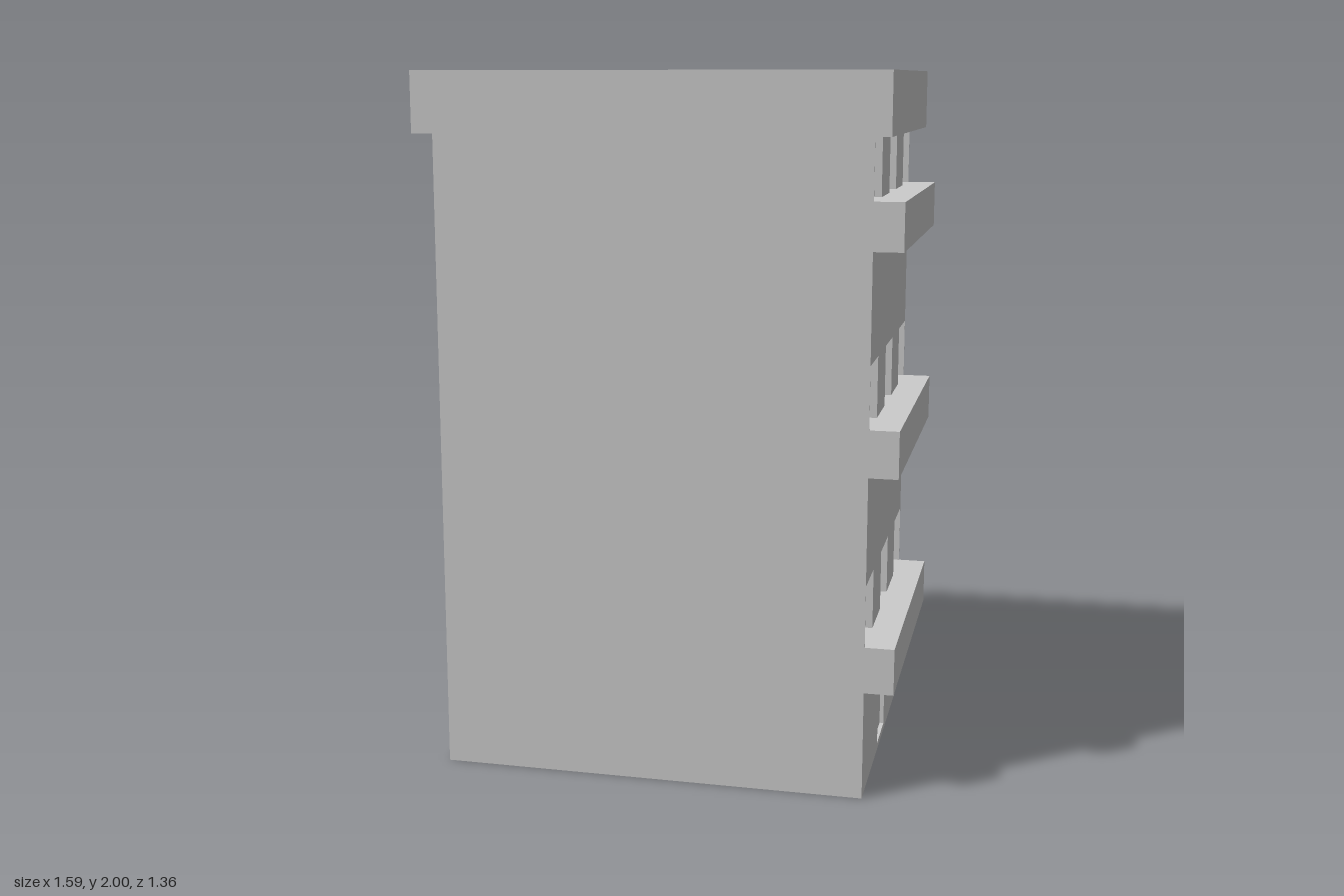
import * as THREE from 'three';

const L = 1.221, W = 0.891, BODY_H = 1.83;   // building length, facade width, roof level
const RECESS = 0.04, DOOR_RECESS = 0.012;
const FLOORS = [0.31, 0.92, 1.53];           // underside of each balcony
const BALCONY_H = 0.132, BALCONY_D = 0.082;
const OPENING_W = 0.172, WINDOW_H = 0.174;

const material = new THREE.MeshStandardMaterial({ color: 0xcccccc, flatShading: true });

function add(parent, name, geometry, x = 0, y = 0, z = 0) {
  const mesh = new THREE.Mesh(geometry, material);
  mesh.name = name;
  mesh.position.set(x, y, z);
  parent.add(mesh);
  return mesh;
}

// Rectangle outline given its centre line, bottom, width and height
function rect(target, cx, y0, w, h) {
  target.moveTo(cx - w / 2, y0);
  target.lineTo(cx + w / 2, y0);
  target.lineTo(cx + w / 2, y0 + h);
  target.lineTo(cx - w / 2, y0 + h);
  target.closePath();
  return target;
}

const extrude = (shape, depth) =>
  new THREE.ExtrudeGeometry(shape, { depth, bevelEnabled: false });

export function createModel() {
  const model = new THREE.Group();
  model.name = 'apartmentBuilding';

  // The block stands turned about the vertical axis
  const building = new THREE.Group();
  building.name = 'building';
  building.position.x = -0.0125;
  building.rotation.y = -0.355;
  model.add(building);

  // Solid core behind the facade
  add(building, 'core', new THREE.BoxGeometry(L - RECESS, BODY_H, W), -RECESS / 2, BODY_H / 2, 0);

  // Facade layer with window and door openings
  const wall = rect(new THREE.Shape(), 0, 0, W, BODY_H);
  for (const y of FLOORS)
    for (const side of [-1, 0, 1])
      wall.holes.push(rect(new THREE.Path(), side * 0.357, y + BALCONY_H, OPENING_W, Math.min(WINDOW_H, BODY_H - 0.002 - y - BALCONY_H)));
  wall.holes.push(rect(new THREE.Path(), 0, 0.02, 0.165, 0.27));
  add(building, 'facade', extrude(wall, RECESS).rotateY(Math.PI / 2), L / 2 - RECESS, 0, 0);

  // Entrance door, set back slightly
  const doorT = RECESS - DOOR_RECESS;
  add(building, 'door', new THREE.BoxGeometry(doorT, 0.27, 0.165), L / 2 - RECESS + doorT / 2, 0.155, 0);

  // Balconies across the whole facade
  for (const y of FLOORS)
    add(building, 'balcony', new THREE.BoxGeometry(BALCONY_D, BALCONY_H, W),
      L / 2 + BALCONY_D / 2, y + BALCONY_H / 2, 0);

  // Overhanging parapet ring round the sunken roof
  const ring = rect(new THREE.Shape(), 0, -0.48, 1.316, 0.96);
  ring.holes.push(rect(new THREE.Path(), 0, -W / 2, L, W));
  add(building, 'parapet', extrude(ring, 2 - BODY_H).rotateX(-Math.PI / 2), 0, BODY_H, 0);

  return model;
}
